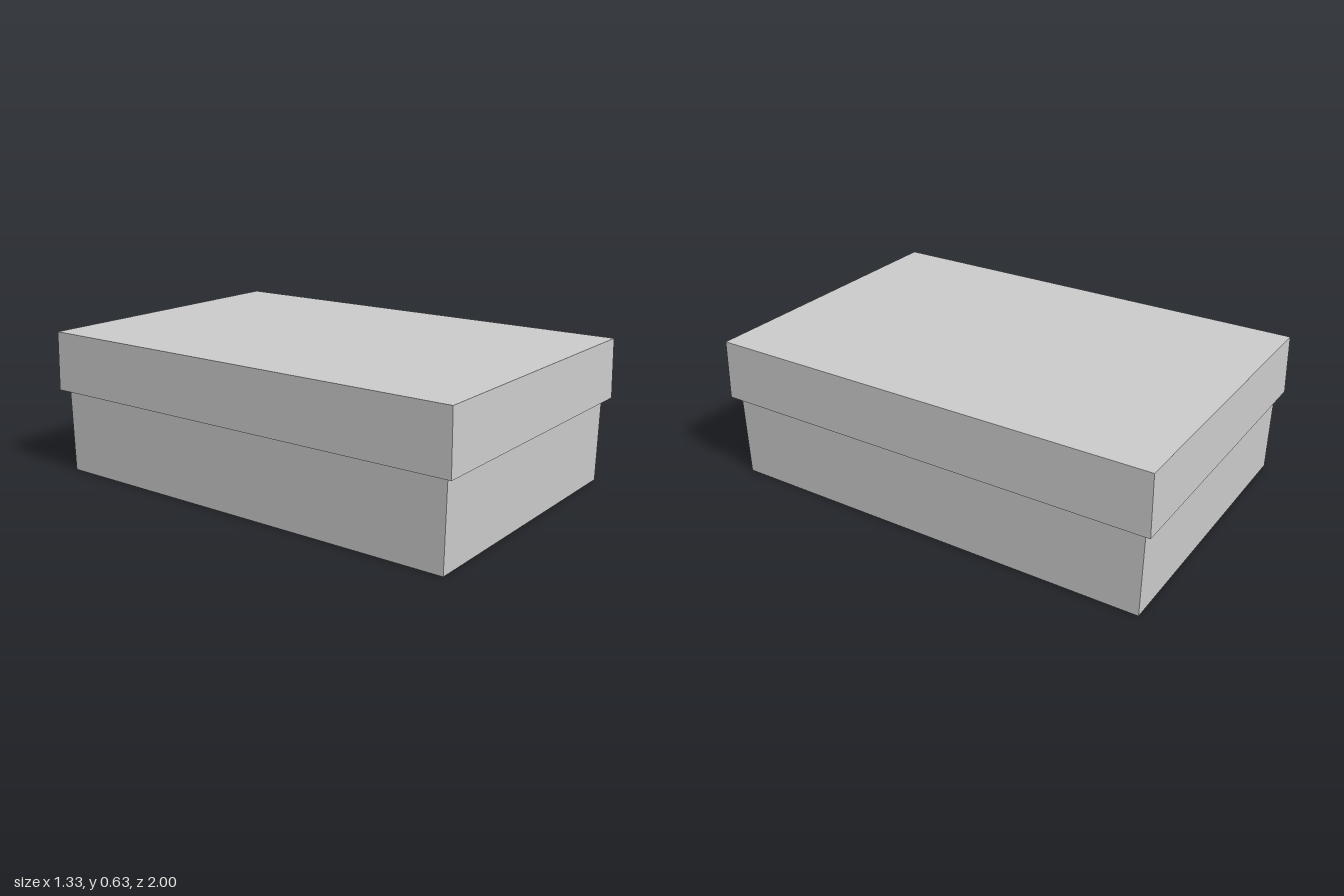
import * as THREE from 'three';

// Box standing on y0 whose bottom and top rectangles differ slightly (half sizes in x and z)
function taperedBox(name, y0, y1, bottom, top) {
  const geometry = new THREE.BoxGeometry(2, 1, 2);
  const p = geometry.attributes.position;
  for (let i = 0; i < p.count; i++) {
    const isTop = p.getY(i) > 0;
    const [hx, hz] = isTop ? top : bottom;
    p.setXYZ(i, p.getX(i) * hx, isTop ? y1 : y0, p.getZ(i) * hz);
  }
  geometry.computeVertexNormals();
  const material = new THREE.MeshStandardMaterial({ color: 0xcccccc, flatShading: true });
  const mesh = new THREE.Mesh(geometry, material);
  mesh.name = name;
  return mesh;
}

export function createModel() {
  const group = new THREE.Group();
  group.name = 'lidded box';

  // Body, widening a little towards the lid at the front and back
  group.add(taperedBox('body', 0, 0.371, [0.635, 0.961], [0.635, 0.968]));

  // Overhanging lid, flared slightly towards its rim
  group.add(taperedBox('lid', 0.371, 0.632, [0.666, 1], [0.661, 0.995]));

  return group;
}
